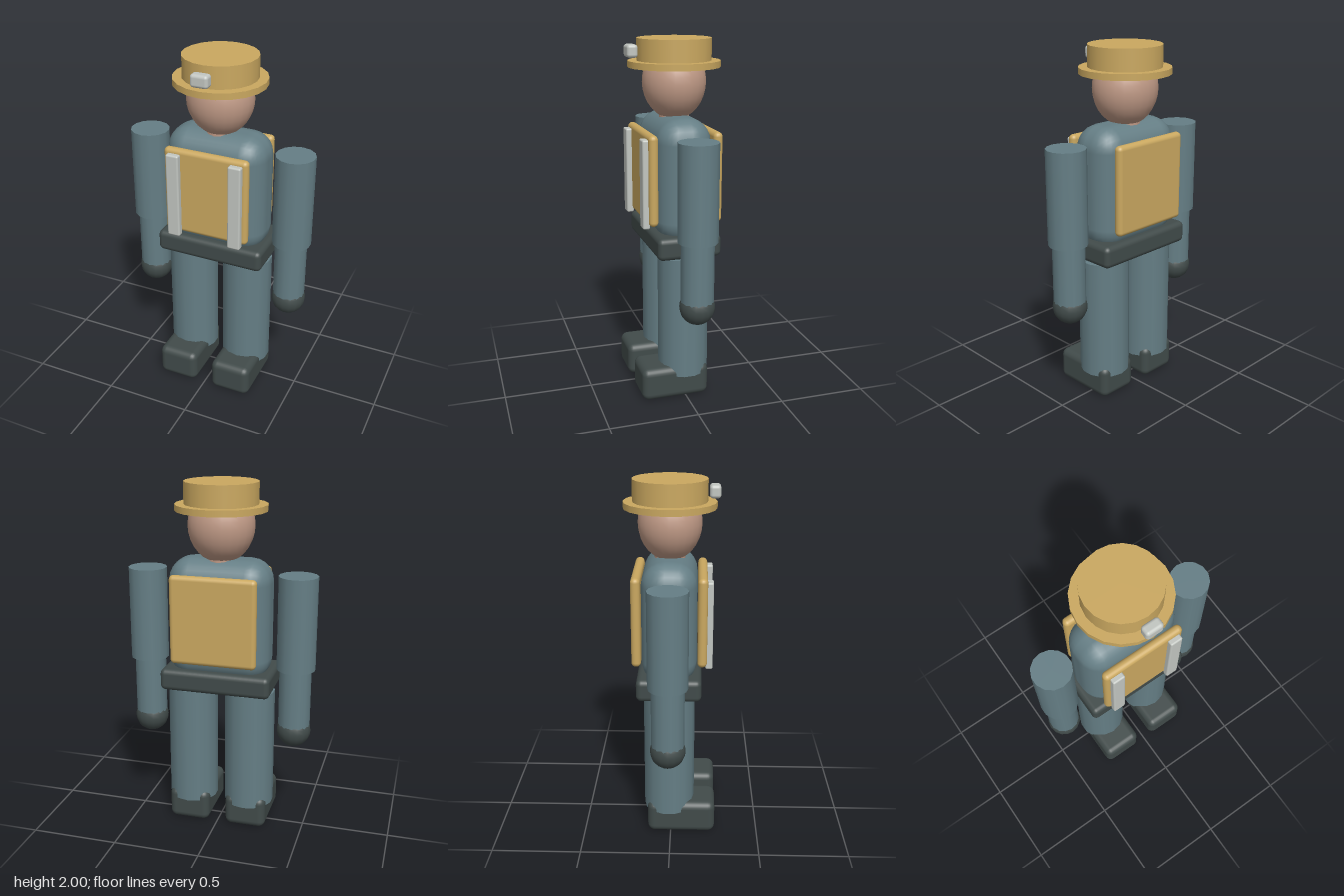
import * as THREE from 'three';
import { RoundedBoxGeometry } from 'three/addons/geometries/RoundedBoxGeometry.js';

const material = (name, color) => {
  const m = new THREE.MeshStandardMaterial({ color });
  m.name = name;
  return m;
};

export function createModel() {
  const model = new THREE.Group();
  model.name = 'figure';
  const cloth = material('blue grey cloth', 0x657e85);
  const tan = material('tan', 0xcaa860);
  const skin = material('skin', 0xc09a86);
  const dark = material('dark leather', 0x414b4a);
  const silver = material('silver', 0xc2c6c1);
  const Z = -0.01; // depth of the body axis

  const add = (name, geometry, mat, x, y, z) => {
    const mesh = new THREE.Mesh(geometry, mat);
    mesh.name = name;
    mesh.position.set(x, y, z);
    model.add(mesh);
    return mesh;
  };
  const box = (name, mat, w, h, d, r, x, y, z) =>
    add(name, new RoundedBoxGeometry(w, h, d, 3, r), mat, x, y, z);
  // Upright cylinder between two heights
  const column = (name, mat, r, y0, y1, sides, x) =>
    add(name, new THREE.CylinderGeometry(r, r, y1 - y0, sides), mat, x, (y0 + y1) / 2, Z);

  // Head and neck
  add('head', new THREE.SphereGeometry(1, 24, 16), skin, 0, 1.765, Z).scale.set(0.185, 0.205, 0.175);
  column('neck', skin, 0.085, 1.5, 1.63, 14, 0);

  // Hat with badge
  column('hatBrim', tan, 0.254, 1.845, 1.88, 20, 0);
  column('hatCrown', tan, 0.204, 1.86, 2, 20, 0);
  box('hatBadge', silver, 0.1, 0.07, 0.06, 0.018, 0, 1.935, 0.231);

  // Torso and belt
  box('torso', cloth, 0.58, 0.69, 0.305, 0.13, 0, 1.245, Z);
  box('belt', dark, 0.63, 0.125, 0.357, 0.03, 0, 0.903, Z);

  // Vest panels
  box('vestFront', tan, 0.487, 0.5, 0.052, 0.025, 0, 1.265, 0.171);
  box('vestBack', tan, 0.487, 0.5, 0.052, 0.025, 0, 1.265, -0.189);

  for (const side of [-1, 1]) {
    const label = side > 0 ? 'left' : 'right';
    // Reflective strip
    box(label + 'Strip', silver, 0.074, 0.49, 0.04, 0.01, side * 0.18, 1.245, 0.208);
    // Arm
    column(label + 'UpperArm', cloth, 0.109, 0.98, 1.51, 14, side * 0.432);
    column(label + 'Forearm', cloth, 0.09, 0.61, 1.0, 14, side * 0.43);
    add(label + 'Hand', new THREE.SphereGeometry(0.097, 16, 12), dark, side * 0.43, 0.612, Z);
    // Leg and boot
    column(label + 'Leg', cloth, 0.143, 0.135, 0.832, 14, side * 0.17);
    box(label + 'Boot', dark, 0.24, 0.19, 0.386, 0.04, side * 0.17, 0.095, 0.061);
  }
  return model;
}
